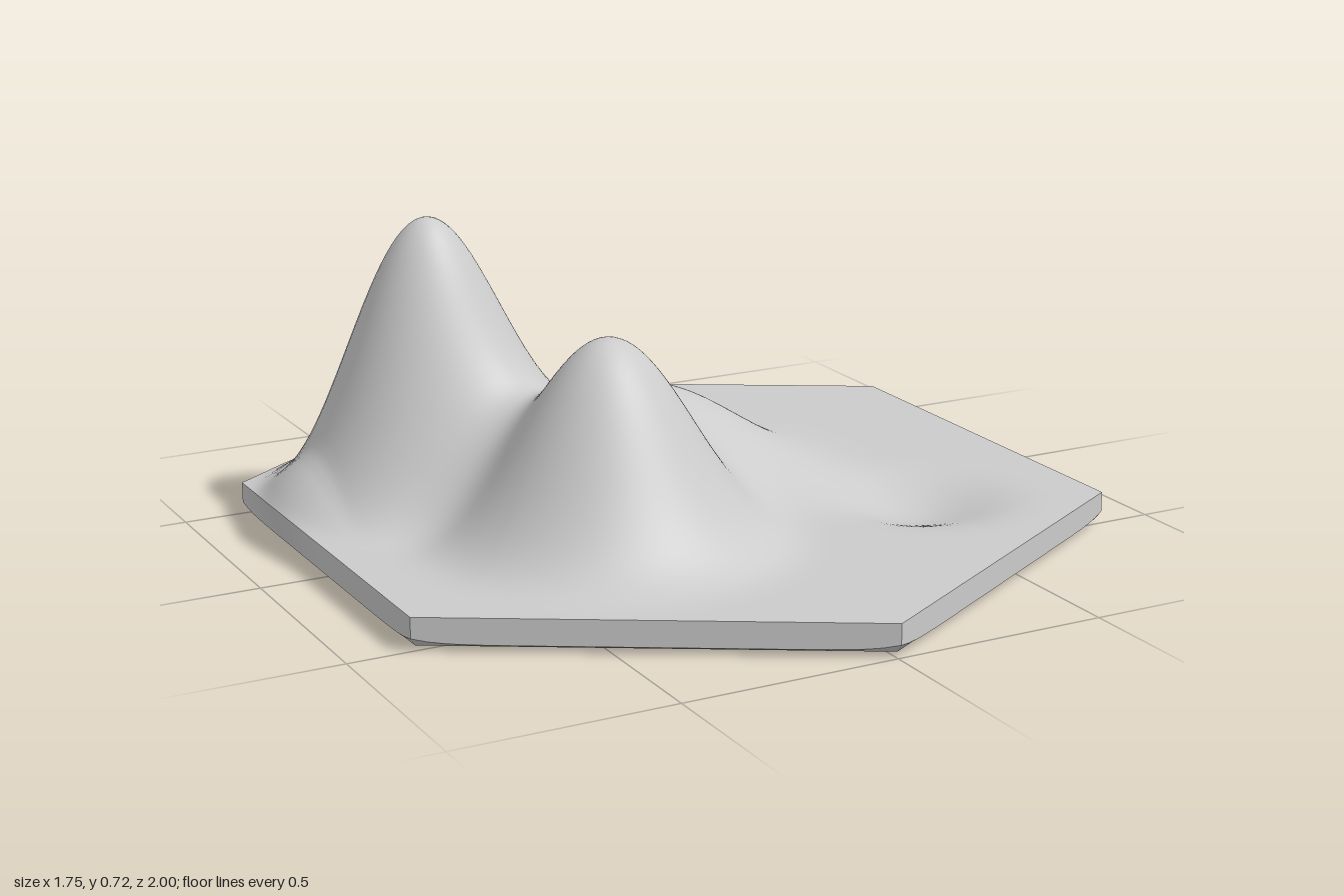
import * as THREE from 'three';
import { toCreasedNormals } from 'three/addons/utils/BufferGeometryUtils.js';

const TOP = 0.075, PER_SIDE = 28, SEGMENTS = PER_SIDE * 6, CENTRE_X = 0.007;

// Hills and one hollow: centre x, centre z, height, radius
const FEATURES = [
  [-0.49, -0.245, 0.645, 0.485],
  [-0.285, 0.26, 0.45, 0.52],
  [0.01, -0.13, 0.212, 0.63],
  [0.48, 0.32, -0.055, 0.34],
];

function lift(x, z) {
  let sum = 0;
  for (const [cx, cz, height, radius] of FEATURES) {
    const u = ((x - cx) ** 2 + (z - cz) ** 2) / radius ** 2;
    if (u < 1) sum += height * (1 - u) ** 4;
  }
  return sum;
}

// Point on the hexagon outline, with corners on the z axis
function outline(j) {
  const side = Math.floor(j / PER_SIDE), t = (j % PER_SIDE) / PER_SIDE;
  const a = side * Math.PI / 3, b = a + Math.PI / 3;
  return {
    x: Math.sin(a) * (1 - t) + Math.sin(b) * t,
    z: Math.cos(a) * (1 - t) + Math.cos(b) * t,
    corner: Math.abs(2 * t - 1),
  };
}

// Ground surface; its edge swells outward where a hill reaches it
function ground(j, s) {
  const p = outline(j);
  const x = p.x * s + CENTRE_X, z = p.z * s, h = lift(x, z);
  const swell = Math.max(0, h) * 1.2 * Math.max(0, (s - 0.9) / 0.1);
  return [x + p.x * swell, TOP + h, z + p.z * swell * 0.3];
}

// Lower edge of the rim, a little higher at the corners
function lowerEdge(j) {
  const p = outline(j);
  return [p.x + CENTRE_X, 0.016 + 0.012 * p.corner ** 10, p.z];
}

// Join rings of points, ring i given by point(j, i)
function loft(rings, point) {
  const positions = [], index = [];
  for (let i = 0; i < rings; i++)
    for (let j = 0; j < SEGMENTS; j++) positions.push(...point(j, i));
  for (let i = 0; i < rings - 1; i++)
    for (let j = 0; j < SEGMENTS; j++) {
      const k = (j + 1) % SEGMENTS, a = i * SEGMENTS, b = a + SEGMENTS;
      index.push(a + j, b + j, b + k, a + j, b + k, a + k);
    }
  const geometry = new THREE.BufferGeometry();
  geometry.setAttribute('position', new THREE.Float32BufferAttribute(positions, 3));
  geometry.setIndex(index);
  geometry.computeVertexNormals();
  return geometry;
}

export function createModel() {
  const group = new THREE.Group();
  group.name = 'hillTile';
  const material = new THREE.MeshStandardMaterial({ color: 0xcccccc });
  const add = (name, geometry) => {
    const mesh = new THREE.Mesh(geometry, material);
    mesh.name = name;
    group.add(mesh);
  };

  // Hilly top surface
  const rings = 72;
  add('terrain', loft(rings + 1, (j, i) => ground(j, i / rings)));

  // Side band between the ground and the lower edge
  add('rim', toCreasedNormals(loft(2, (j, i) => (i ? lowerEdge(j) : ground(j, 1))), 0.6));

  // Slightly domed underside
  const steps = [[1, 0], [0.985, 0.009], [0.95, 0.006], [0.85, 0.002], [0.7, 0], [0, 0]];
  add('underside', loft(steps.length, (j, i) => {
    if (i === 0) return lowerEdge(j);
    const p = outline(j), [s, y] = steps[i];
    return [p.x * s + CENTRE_X, y, p.z * s];
  }));

  return group;
}
